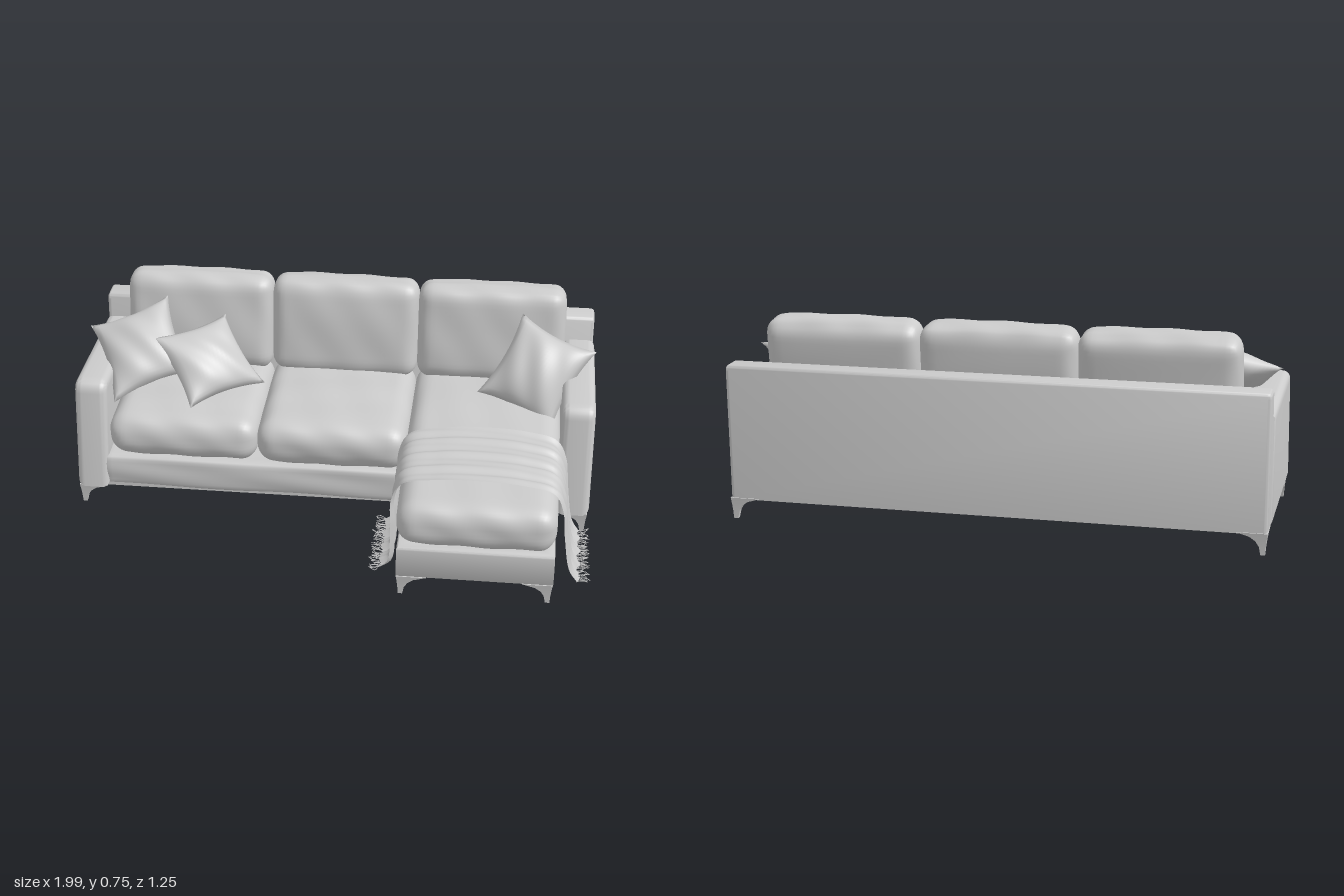
import * as THREE from 'three';
import { mergeGeometries, mergeVertices, toCreasedNormals } from 'three/addons/utils/BufferGeometryUtils.js';

const material = new THREE.MeshStandardMaterial({ color: 0xcccccc });
const clothMaterial = new THREE.MeshStandardMaterial({ color: 0xcccccc, side: THREE.DoubleSide });

function mesh(geometry, name, mat = material) {
  const m = new THREE.Mesh(geometry, mat);
  m.name = name;
  return m;
}

// Moves every vertex by a rule, then welds and smooths the surface
function reshape(geometry, rule) {
  const pos = geometry.attributes.position;
  const p = new THREE.Vector3();
  for (let i = 0; i < pos.count; i++) {
    p.fromBufferAttribute(pos, i);
    rule(p);
    pos.setXYZ(i, p.x, p.y, p.z);
  }
  geometry.deleteAttribute('uv');
  geometry.deleteAttribute('normal');
  const welded = mergeVertices(geometry, 1e-5);
  welded.computeVertexNormals();
  return welded;
}

// Rounded box whose faces swell outward, with faint wrinkles
function cushion(w, h, d, r, swell, seed = 0) {
  const half = new THREE.Vector3(w / 2, h / 2, d / 2);
  const inner = half.clone().subScalar(r);
  const core = new THREE.Vector3();
  const seg = (s) => Math.max(10, Math.round(s / 0.018));
  return reshape(new THREE.BoxGeometry(w, h, d, seg(w), seg(h), seg(d)), (p) => {
    core.copy(p).clamp(inner.clone().negate(), inner);
    p.sub(core).setLength(r).add(core);
    const a = p.x / half.x, b = p.y / half.y, c = p.z / half.z;
    const fa = 1 - a * a, fb = 1 - b * b, fc = 1 - c * c;
    const wrinkle = 0.003 * Math.sin(a * 5 + c * 3 + b * 4 + seed) * Math.cos(c * 6 - a * 4 + seed);
    p.x += a * swell.x * fb * fc;
    p.y += b * (swell.y * Math.sqrt(Math.max(0, fa * fc)) + wrinkle);
    p.z += c * (swell.z * Math.sqrt(Math.max(0, fa * fb)) + wrinkle);
  });
}

// Profile in (z, y) extruded along x with a soft bevel, centred on x = 0
function sideSlab(shape, width, bevel) {
  const g = new THREE.ExtrudeGeometry(shape, {
    depth: width - 2 * bevel, bevelEnabled: true, bevelThickness: bevel,
    bevelSize: bevel, bevelOffset: -bevel, bevelSegments: 6, curveSegments: 8,
  });
  g.rotateY(-Math.PI / 2);
  g.translate(width / 2 - bevel, 0, 0);
  return toCreasedNormals(g, 0.7);
}

// Square throw pillow given by three of its corners
function pillow(topLeft, topRight, bottomLeft, thickness) {
  const [a, b, c] = [topLeft, topRight, bottomLeft].map((v) => new THREE.Vector3(...v));
  const centre = b.clone().add(c).multiplyScalar(0.5);
  const u = b.clone().sub(a).multiplyScalar(0.5);
  const v = a.clone().sub(c).multiplyScalar(0.5);
  const n = u.clone().cross(v).normalize();
  return reshape(new THREE.BoxGeometry(2, 2, 2, 24, 24, 1), (p) => {
    const fx = 1 - p.x * p.x, fy = 1 - p.y * p.y;
    const crease = 1 + 0.08 * Math.sin(7 * p.x + 4 * p.y);
    const t = p.z * thickness * Math.pow(Math.max(0, fx * fy), 0.55) * crease;
    const x = p.x * (1 - 0.13 * fy), y = p.y * (1 - 0.13 * fx);
    p.copy(centre).addScaledVector(u, x).addScaledVector(v, y).addScaledVector(n, t);
  });
}

// Bracket foot: L-shaped section that narrows to a small square toe at the outer corner
function footGeometry() {
  const levels = [[0, 0.024, 0.024], [0.03, 0.03, 0.028], [0.05, 0.042, 0.03], [0.066, 0.064, 0.033], [0.08, 0.11, 0.038]];
  const positions = [], index = [];
  levels.forEach(([y, reach, t], i) => {
    const o = 0.008 * (1 - i / 4);
    const ring = [[o, o], [reach, o], [reach, t], [t, t], [t, reach], [o, reach]];
    ring.forEach(([x, z]) => positions.push(-x, y, -z));
    for (let k = 0; i > 0 && k < 6; k++) {
      const p = (i - 1) * 6 + k, q = (i - 1) * 6 + ((k + 1) % 6);
      index.push(p, p + 6, q, q, p + 6, q + 6);
    }
  });
  for (let k = 1; k < 5; k++) index.push(0, k, k + 1, 24, 24 + k + 1, 24 + k);
  const g = new THREE.BufferGeometry();
  g.setAttribute('position', new THREE.Float32BufferAttribute(positions, 3));
  g.setIndex(index);
  return toCreasedNormals(g, 0.7);
}

// Blanket draped across the chaise, plus a ragged fringe on both hems
function throwBlanket() {
  const group = new THREE.Group();
  group.name = 'throwBlanket';
  const path = new THREE.CatmullRomCurve3([
    [0.22, 0.012], [0.255, 0.04], [0.268, 0.2], [0.268, 0.32], [0.3, 0.385], [0.42, 0.409], [0.58, 0.415],
    [0.74, 0.409], [0.85, 0.385], [0.885, 0.32], [0.9, 0.2], [0.925, 0.06], [0.955, 0.012],
  ].map(([x, y]) => new THREE.Vector3(x, y, 0)));
  const point = (s, t) => {
    const p = path.getPointAt(s), tan = path.getTangentAt(s);
    const top = Math.sin(Math.PI * s);
    const fold = 0.006 * Math.sin(t * 26 + 3 * s) + 0.004 * Math.sin(t * 47 - 6 * s);
    const lift = fold * (1.1 - 0.5 * top);
    const back = 0.14 - 0.05 * top * top;
    return new THREE.Vector3(p.x - tan.y * lift, Math.max(0.008, p.y + tan.x * lift),
      THREE.MathUtils.lerp(back, 0.472 + 0.006 * Math.sin(9 * s), t));
  };
  const cloth = reshape(new THREE.PlaneGeometry(1, 1, 90, 48), (p) => p.copy(point(p.x + 0.5, p.y + 0.5)));
  group.add(mesh(cloth, 'blanketCloth', clothMaterial));

  let seed = 7;
  const rand = () => (seed = (seed * 16807) % 2147483647) / 2147483647;
  const strands = [];
  for (const [s, side] of [[0, -1], [1, 1]]) {
    for (let i = 0; i < 60; i++) {
      const start = point(s, i / 59);
      const at = (f) => new THREE.Vector3(start.x + side * 0.042 * f + (rand() - 0.5) * 0.015,
        0.004 + rand() * 0.022, start.z + (rand() - 0.5) * 0.03 * f);
      strands.push(new THREE.TubeGeometry(new THREE.CatmullRomCurve3([start, at(0.4), at(0.8)]), 5, 0.0016, 4));
    }
  }
  group.add(mesh(mergeGeometries(strands), 'blanketFringe'));
  return group;
}

export function createModel() {
  const sofa = new THREE.Group();
  sofa.name = 'chaiseSofa';
  const add = (geometry, name, x = 0, y = 0, z = 0) => {
    const m = mesh(geometry, name);
    m.position.set(x, y, z);
    sofa.add(m);
    return m;
  };

  // Back panel, leaning slightly backwards
  const back = new THREE.Shape();
  back.moveTo(-0.61, 0.075);
  back.lineTo(-0.625, 0.56);
  back.quadraticCurveTo(-0.625, 0.582, -0.605, 0.582);
  back.lineTo(-0.545, 0.582);
  back.quadraticCurveTo(-0.525, 0.582, -0.522, 0.56);
  back.lineTo(-0.49, 0.075);
  add(sideSlab(back, 1.97, 0.015), 'backPanel');

  // Arms with a sloping top and a raked front
  const arm = new THREE.Shape();
  arm.moveTo(0.133, 0.075);
  arm.lineTo(0.087, 0.465);
  arm.quadraticCurveTo(0.08, 0.512, 0.03, 0.511);
  arm.lineTo(-0.53, 0.486);
  arm.lineTo(-0.53, 0.075);
  const armGeometry = sideSlab(arm, 0.125, 0.028);
  for (const side of [-1, 1]) add(armGeometry, side > 0 ? 'leftArm' : 'rightArm', side * 0.929);

  // Sofa base and underside
  add(cushion(1.78, 0.135, 0.64, 0.02, new THREE.Vector3(0, 0, 0.004)), 'seatBase', 0, 0.143, -0.205);
  add(new THREE.BoxGeometry(1.93, 0.02, 0.71), 'underside', 0, 0.084, -0.245);

  // Chaise base: hollow frame with a recessed panel underneath
  const rect = (path, w, d) => path.moveTo(-w, -d).lineTo(w, -d).lineTo(w, d).lineTo(-w, d).closePath();
  const frame = rect(new THREE.Shape(), 0.285, 0.245);
  frame.holes.push(rect(new THREE.Path(), 0.23, 0.195));
  const frameGeometry = new THREE.ExtrudeGeometry(frame, {
    depth: 0.106, bevelThickness: 0.012, bevelSize: 0.012, bevelOffset: -0.012, bevelSegments: 4,
  });
  frameGeometry.rotateX(-Math.PI / 2);
  add(toCreasedNormals(frameGeometry, 0.7), 'chaiseFrame', 0.577, 0.087, 0.363);
  add(new THREE.BoxGeometry(0.5, 0.09, 0.43), 'chaisePanel', 0.577, 0.145, 0.363);

  // Seat cushions, the last one running out along the chaise
  const swell = new THREE.Vector3(0.004, 0.02, 0.008);
  const seat = (x, z0, z1, seed) =>
    add(cushion(0.575, 0.162, z1 - z0, 0.065, swell, seed), 'seatCushion', x, 0.292, (z0 + z1) / 2);
  seat(-0.575, -0.48, 0.117, 0);
  seat(-0.001, -0.48, 0.117, 2);
  seat(0.576, -0.48, 0.615, 4);

  // Back cushions
  [-0.577, 0.002, 0.58].forEach((x, i) => {
    const c = add(cushion(0.575, 0.375, 0.145, 0.05, new THREE.Vector3(0.004, 0.012, 0.016), i * 2),
      'backCushion', x, 0.55, -0.437);
    c.rotation.x = -0.13;
  });

  // Throw pillows
  sofa.add(mesh(pillow([-0.99, 0.585, -0.24], [-0.7, 0.675, -0.36], [-0.85, 0.4, 0.03], 0.07), 'throwPillow'));
  sofa.add(mesh(pillow([-0.73, 0.6, -0.14], [-0.47, 0.61, -0.35], [-0.55, 0.4, 0.04], 0.07), 'throwPillow'));
  sofa.add(mesh(pillow([0.7, 0.675, -0.36], [0.99, 0.585, -0.24], [0.54, 0.41, -0.19], 0.07), 'throwPillow'));

  sofa.add(throwBlanket());

  // Feet at the outer corners; dx and dz point outwards
  const foot = footGeometry();
  const feet = [[0.985, 0.13, 1, 1], [-0.985, 0.13, -1, 1], [0.985, -0.615, 1, -1], [-0.985, -0.615, -1, -1],
    [0.86, 0.61, 1, 1], [0.293, 0.61, -1, 1]];
  for (const [x, z, dx, dz] of feet) {
    const turn = dx > 0 ? (dz > 0 ? 0 : 1) : (dz > 0 ? 3 : 2);
    add(foot, 'foot', x, 0, z).rotation.y = turn * Math.PI / 2;
  }
  return sofa;
}
